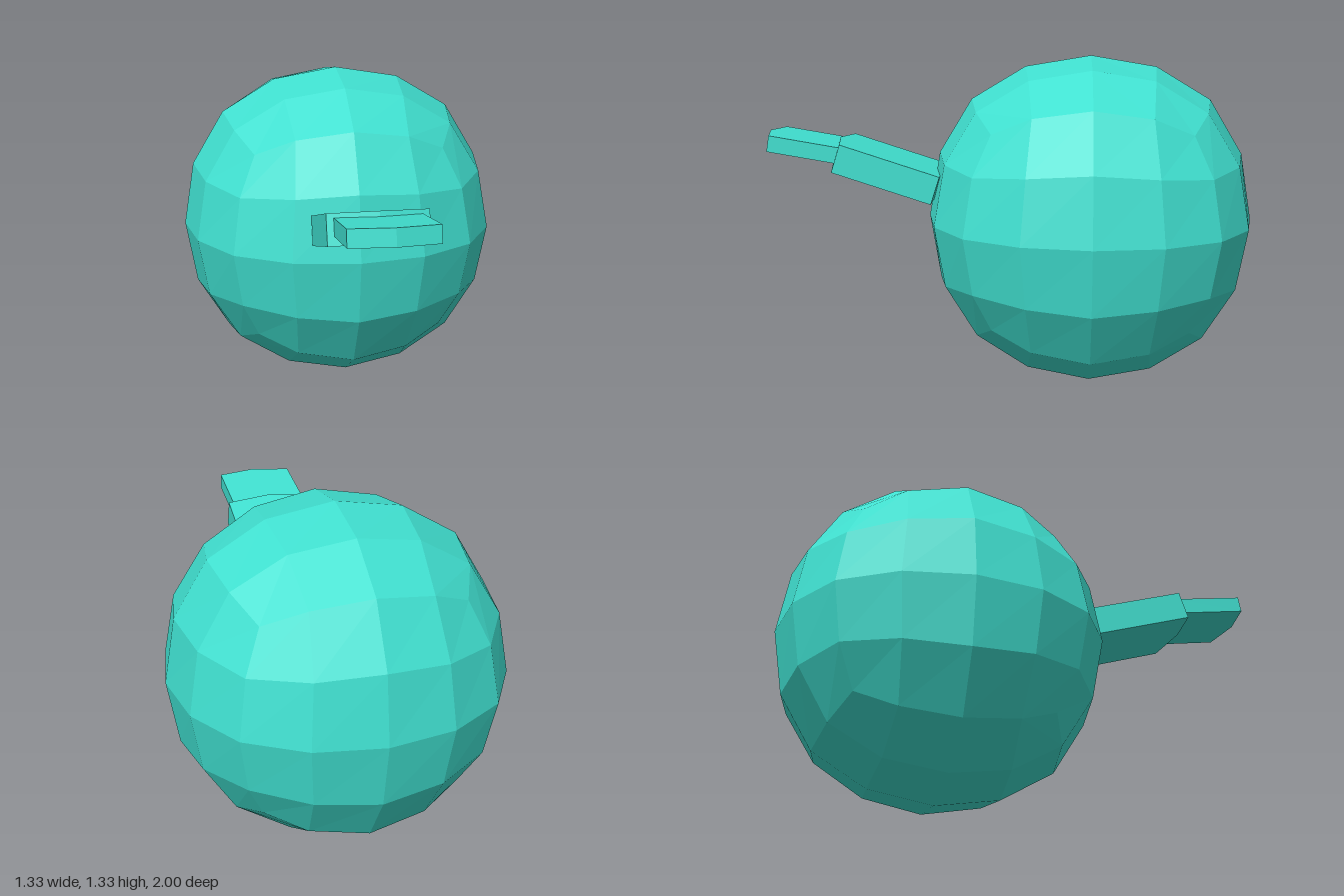
import * as THREE from 'three';

const material = new THREE.MeshStandardMaterial({ color: 0x40e0d0, flatShading: true });

// Ball: a 4x4x4 box rounded as a twice-smoothed cube.
// Key = how many coordinates sit at half / full width; values = new offsets for 0, half, full.
const ROUNDING = {
  '01': [0, 0, 0.878],
  '11': [0, 0.351, 0.819],
  '02': [0, 0, 0.643],
  '21': [0, 0.326, 0.764],
  '12': [0, 0.302, 0.599],
  '03': [0, 0, 0.509],
};

function roundedCube(radius) {
  const geometry = new THREE.BoxGeometry(2, 2, 2, 4, 4, 4);
  const pos = geometry.attributes.position;
  const scale = radius / 0.878;
  for (let i = 0; i < pos.count; i++) {
    const p = [pos.getX(i), pos.getY(i), pos.getZ(i)];
    const steps = p.map((v) => Math.round(Math.abs(v) * 2));
    const key = `${steps.filter((s) => s === 1).length}${steps.filter((s) => s === 2).length}`;
    const q = p.map((v, k) => Math.sign(v) * ROUNDING[key][steps[k]] * scale);
    pos.setXYZ(i, ...q);
  }
  geometry.computeVertexNormals();
  return geometry;
}

// Slab with a shallow pointed front, origin at the middle of its top back edge
function pointedSlab(name, halfWidth, sideLength, tipLength, thickness, y, z, tilt) {
  const outline = new THREE.Shape([
    new THREE.Vector2(-halfWidth, 0),
    new THREE.Vector2(halfWidth, 0),
    new THREE.Vector2(halfWidth, sideLength),
    new THREE.Vector2(0, tipLength),
    new THREE.Vector2(-halfWidth, sideLength),
  ]);
  const geometry = new THREE.ExtrudeGeometry(outline, { depth: thickness, bevelEnabled: false });
  geometry.rotateX(Math.PI / 2);
  const mesh = new THREE.Mesh(geometry, material);
  mesh.name = name;
  mesh.position.set(0, y, z);
  mesh.rotation.x = -tilt;
  return mesh;
}

export function createModel() {
  const model = new THREE.Group();
  model.name = 'ballWithBeak';

  const ball = new THREE.Mesh(roundedCube(0.664), material);
  ball.name = 'ball';
  ball.position.set(0, 0.667, -0.334);
  model.add(ball);

  // Two-part beak, the tip overlapping the base
  model.add(pointedSlab('beakBase', 0.188, 0.42, 0.45, 0.118, 0.855, 0.27, 0.31));
  model.add(pointedSlab('beakTip', 0.162, 0.305, 0.335, 0.066, 0.965, 0.66, 0.165));

  return model;
}
